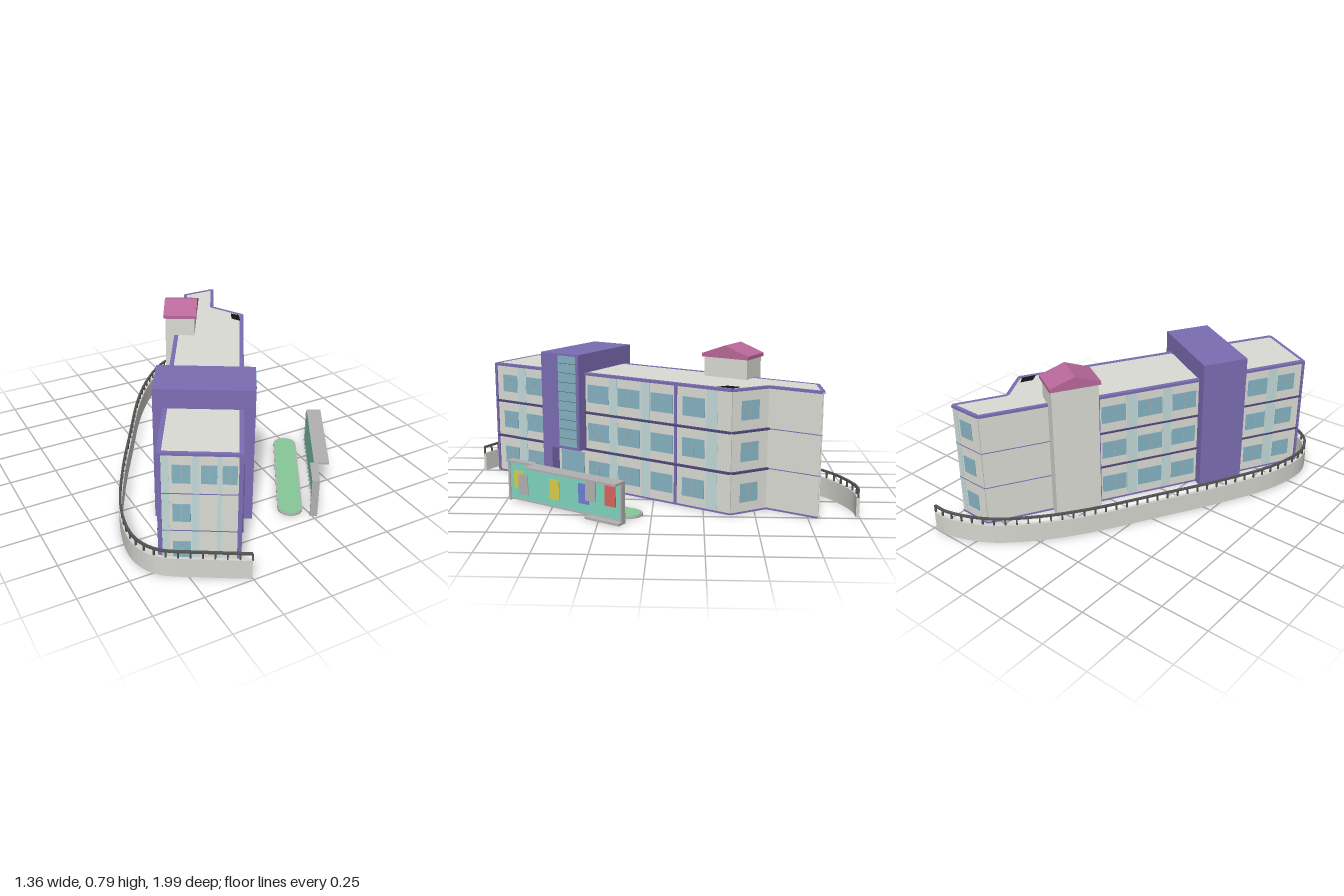
import * as THREE from 'three';

const mat = (color) => new THREE.MeshStandardMaterial({ color, side: THREE.DoubleSide });
const M = {
  wall: mat(0xdcdcd5), purple: mat(0x7c6db4), ledge: mat(0x4f4678), glass: mat(0x86b4c4),
  pale: mat(0xc3dada), pink: mat(0xb9699b), green: mat(0x86c998), teal: mat(0x7fd6c1),
  grey: mat(0xb2b2b2), yellow: mat(0xd9cf4a), blue: mat(0x6f7fd8), red: mat(0xdd6560),
  dark: mat(0x555555), black: mat(0x151515), fence: mat(0xd6d6d0),
};

function add(parent, geo, material, name) {
  const mesh = new THREE.Mesh(geo, material);
  mesh.name = name;
  parent.add(mesh);
  return mesh;
}

// Box given by its lower and upper limits on each axis
function block(parent, name, material, x0, x1, y0, y1, z0, z1) {
  const mesh = add(parent, new THREE.BoxGeometry(x1 - x0, y1 - y0, z1 - z0), material, name);
  mesh.position.set((x0 + x1) / 2, (y0 + y1) / 2, (z0 + z1) / 2);
  return mesh;
}

// Plan outline [x, z] raised from y0 to y1
function prism(parent, name, material, plan, y0, y1) {
  const shape = new THREE.Shape(plan.map(([x, z]) => new THREE.Vector2(x, -z)));
  const geo = new THREE.ExtrudeGeometry(shape, { depth: y1 - y0, bevelEnabled: false });
  geo.rotateX(-Math.PI / 2).translate(0, y0, 0);
  return add(parent, geo, material, name);
}

const TOP = 0.62;
const ROWS = [[0.055, 0.15], [0.26, 0.355], [0.465, 0.56]];

// Straight wall from plan point a to b; strips are measured along it.
// windows: [from, to, lowest floor], panels: [from, to]
function wall(parent, name, a, b, { windows = [], panels = [], piers = [], ledge = 0.016 } = {}) {
  const g = new THREE.Group();
  g.name = name;
  const dx = b[0] - a[0], dz = b[1] - a[1], len = Math.hypot(dx, dz);
  g.position.set(a[0], 0, a[1]);
  g.rotation.y = -Math.atan2(dz, dx);
  parent.add(g);
  const slab = (n, m, s0, s1, y0, y1, t) => block(g, n, m, s0, s1, y0, y1, -t, t);
  slab('wallPanel', M.wall, 0, len, 0, TOP - 0.004, 0.004);
  for (const [s0, s1] of panels) slab('palePanel', M.pale, s0, s1, 0.01, 0.608, 0.0055);
  for (const [s0, s1, low = 0] of windows) {
    ROWS.slice(low).forEach(([y0, y1]) => {
      slab('window', M.glass, s0, s1, y0, y1, 0.007);
      const mid = (s0 + s1) / 2;
      slab('mullion', M.grey, mid - 0.0015, mid + 0.0015, y0, y1, 0.008);
    });
  }
  for (const s of piers) slab('pier', M.purple, s - 0.007, s + 0.007, 0, TOP, 0.01);
  slab('baseTrim', M.purple, 0, len, 0, 0.008, 0.008);
  slab('roofTrim', M.purple, 0, len, 0.608, TOP + 0.001, 0.009);
  for (const y of [0.21, 0.41]) {
    slab('floorLedge', ledge > 0.01 ? M.ledge : M.purple, 0, len, y - ledge / 3, y + ledge / 3, ledge);
  }
}

function buildBlock(g) {
  const L = -0.142, R = 0.216, F = 0.914;
  // Long sides: positions given along z, turned into distance from the front
  const along = (list) => list.map(([z0, z1]) => [F - z0, F - z1]);
  const windows = along([[0.865, 0.765], [0.7, 0.585], [0.28, 0.147], [0.09, -0.044], [-0.11, -0.24], [-0.295, -0.42]]);
  const panels = along([[0.76, 0.705], [0.142, 0.095], [-0.05, -0.105], [-0.43, -0.49]]);
  wall(g, 'rightFacade', [R, F], [R, -0.564], { windows, panels, piers: [0, F + 0.257] });
  wall(g, 'leftFacade', [L, F], [L, -0.4], {
    windows: windows.slice(0, 5), panels: panels.slice(0, 3), piers: [0, F + 0.257], ledge: 0.012,
  });
  wall(g, 'frontEnd', [L, F], [R, F], {
    windows: [[0.058, 0.139], [0.185, 0.254, 2], [0.277, 0.342, 2]],
    panels: [[0.012, 0.045], [0.143, 0.177], [0.256, 0.275]], ledge: 0.006,
  });
  wall(g, 'angledWall', [R, -0.564], [0.04, -0.67], { windows: [[0.05, 0.15]] });
  wall(g, 'farRightWall', [0.04, -0.67], [0.035, -0.943], { ledge: 0.006 });
  wall(g, 'farEnd', [0.035, -0.943], [-0.123, -0.853], { windows: [[0.05, 0.13]], panels: [[0.01, 0.035]], ledge: 0.006 });
  wall(g, 'farLeftWall', [-0.123, -0.853], [-0.123, -0.4], { ledge: 0.006 });
  prism(g, 'roof', M.wall, [[L, F], [R, F], [R, -0.564], [0.04, -0.67], [0.035, -0.943],
    [-0.123, -0.853], [-0.123, -0.4], [L, -0.4]], 0.606, TOP);
  prism(g, 'roofHatch', M.black, [[0.158, -0.507], [0.154, -0.572], [0.2, -0.554], [0.206, -0.478]], 0.61, TOP + 0.003);
  // Coloured strips along the roof edges
  block(g, 'roofEdge', M.purple, L - 0.01, L + 0.012, 0.608, TOP + 0.002, -0.26, F);
  block(g, 'roofEdge', M.purple, R - 0.012, R + 0.01, 0.608, TOP + 0.002, -0.564, F);
}

function buildStairCore(g) {
  block(g, 'coreUpper', M.purple, -0.2, 0.28, 0.21, 0.72, 0.295, 0.54);
  block(g, 'coreRearBase', M.purple, -0.2, -0.135, 0, 0.21, 0.295, 0.54);
  block(g, 'corePier', M.purple, 0.21, 0.28, 0, 0.21, 0.48, 0.54);
  block(g, 'coreGlazing', M.glass, 0.27, 0.283, 0.225, 0.71, 0.312, 0.427);
  for (let i = 0; i < 9; i++) {
    const y = 0.27 + i * 0.05;
    block(g, 'glazingBar', M.dark, 0.28, 0.2845, y - 0.001, y + 0.001, 0.312, 0.427);
  }
  block(g, 'entranceDoor', M.glass, 0.21, 0.226, 0.01, 0.19, 0.31, 0.46);
}

function buildTower(g) {
  block(g, 'towerShaft', M.wall, -0.2, -0.042, 0, 0.72, -0.51, -0.27);
  // Gabled cap with its ridge across the block
  const gable = new THREE.Shape([[-0.13, 0.72], [0.13, 0.72], [0.13, 0.738], [0, 0.785], [-0.13, 0.738]]
    .map(([x, y]) => new THREE.Vector2(x, y)));
  const geo = new THREE.ExtrudeGeometry(gable, { depth: 0.178, bevelEnabled: false });
  geo.rotateY(Math.PI / 2).translate(-0.21, 0, -0.39);
  add(g, geo, M.pink, 'towerRoof');
}

function buildMural(g) {
  block(g, 'muralWall', M.teal, 0.588, 0.6, 0.012, 0.202, -0.195, 0.5);
  block(g, 'canopy', M.grey, 0.588, 0.665, 0.2, 0.21, -0.2, 0.34);
  block(g, 'canopyEnd', M.grey, 0.568, 0.605, 0.2, 0.21, 0.34, 0.506);
  block(g, 'endPost', M.grey, 0.568, 0.605, 0, 0.2, 0.494, 0.506);
  block(g, 'endPost', M.grey, 0.585, 0.615, 0.01, 0.2, -0.2, -0.188);
  block(g, 'footing', M.grey, 0.585, 0.64, 0, 0.012, -0.2, 0.0);
  block(g, 'bottomRail', M.grey, 0.584, 0.604, 0.008, 0.016, -0.2, 0.5);
  const pictures = [
    [M.yellow, 0.44, 0.07, 0.16], [M.grey, 0.41, 0.04, 0.145], [M.yellow, 0.21, 0.05, 0.15],
    [M.blue, 0.03, 0.06, 0.16], [M.grey, -0.012, 0.08, 0.185], [M.red, -0.127, 0.075, 0.175],
  ];
  pictures.forEach(([m, z, y0, y1], i) =>
    block(g, 'picture', m, 0.598, 0.603 + i * 0.0008, y0, y1, z - 0.03, z + 0.03));
}

// Rounded planting bed with a kerb
function buildBed(g) {
  const stadium = (r) => {
    const pts = [];
    for (let i = 0; i <= 16; i++) pts.push([0.472 + r * Math.cos(i * Math.PI / 16), 0.447 + r * Math.sin(i * Math.PI / 16)]);
    for (let i = 16; i <= 32; i++) pts.push([0.472 + r * Math.cos(i * Math.PI / 16), -0.15 + r * Math.sin(i * Math.PI / 16)]);
    return pts;
  };
  prism(g, 'bedKerb', M.grey, stadium(0.063), 0, 0.01);
  prism(g, 'bedLawn', M.green, stadium(0.056), 0, 0.013);
}

// Curved boundary wall with posts and a handrail
function buildFence(g) {
  const curve = new THREE.CatmullRomCurve3([[0.485, -0.99], [0.4, -0.988], [0.2, -0.905], [0.03, -0.75],
    [-0.13, -0.54], [-0.33, -0.2], [-0.5, 0.1], [-0.63, 0.38], [-0.673, 0.58], [-0.66, 0.68], [-0.61, 0.765],
    [-0.43, 0.88], [-0.25, 0.985]].map(([x, z]) => new THREE.Vector3(x, 0, z)), false, 'centripetal');
  const ribbon = (name, m, half, y0, y1) => {
    const left = [], right = [];
    for (let i = 0; i <= 90; i++) {
      const p = curve.getPointAt(i / 90), t = curve.getTangentAt(i / 90);
      left.push([p.x + t.z * half, p.z - t.x * half]);
      right.unshift([p.x - t.z * half, p.z + t.x * half]);
    }
    prism(g, name, m, left.concat(right), y0, y1);
  };
  ribbon('boundaryWall', M.fence, 0.008, 0, 0.102);
  ribbon('handrail', M.dark, 0.006, 0.132, 0.142);
  const post = new THREE.BoxGeometry(0.008, 0.036, 0.008);
  for (let i = 0; i <= 48; i++) {
    const p = curve.getPointAt(i / 48), t = curve.getTangentAt(i / 48);
    const mesh = add(g, post, M.dark, 'railPost');
    mesh.position.set(p.x, 0.118, p.z);
    mesh.rotation.y = Math.atan2(t.x, t.z);
  }
}

export function createModel() {
  const model = new THREE.Group();
  model.name = 'schoolBuilding';
  // Everything but the fence lies on a grid turned 30 degrees
  const site = new THREE.Group();
  site.name = 'site';
  site.rotation.y = -Math.PI / 6;
  model.add(site);
  const parts = { mainBlock: buildBlock, stairCore: buildStairCore, tower: buildTower, muralStand: buildMural, plantingBed: buildBed };
  for (const [name, build] of Object.entries(parts)) {
    const g = new THREE.Group();
    g.name = name;
    build(g);
    site.add(g);
  }
  const fence = new THREE.Group();
  fence.name = 'fence';
  buildFence(fence);
  model.add(fence);
  return model;
}
